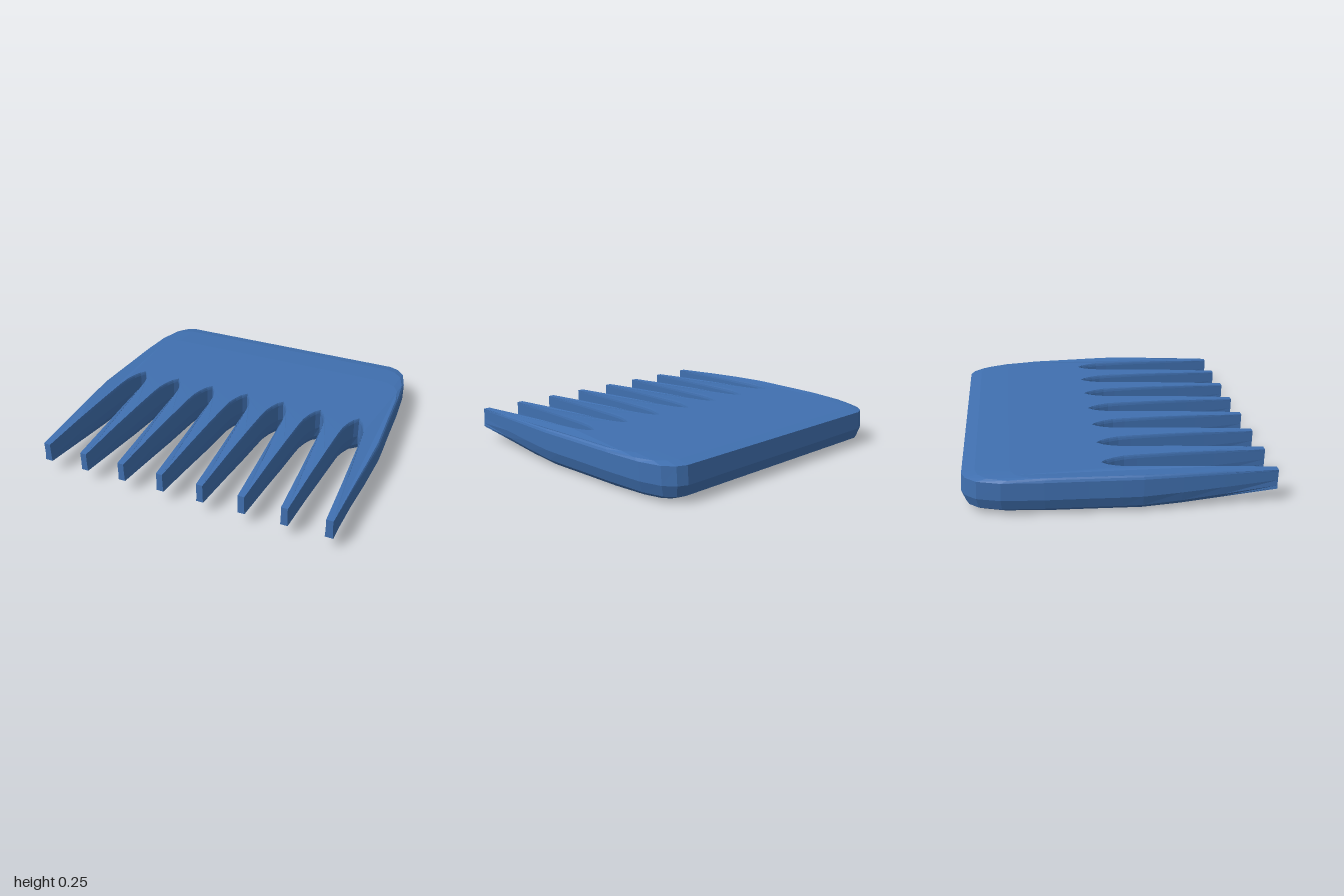
import * as THREE from 'three';

const HEIGHT = 0.245, TIP_Z = 0.925, PITCH = 0.2667;

// Half of the outer edge, back to front: [x, z]
const SIDE = [[0.8, -0.93], [0.86, -0.905], [0.915, -0.84], [0.955, -0.7], [0.975, -0.45],
  [0.985, -0.2], [0.995, 0], [1, 0.12], [0.99, 0.35], [0.975, 0.6], [0.955, TIP_Z]];
// Half of a gap between teeth, tip to root: [half width, z]
const GAP = [[0.113, TIP_Z], [0.097, 0.6], [0.083, 0.35], [0.07, 0.12], [0.062, 0.04],
  [0.046, -0.02], [0.024, -0.07]];
// Edge profile, bottom to top: [inset, extra inset at the back, height]
const LAYERS = [[0.075, 0.2, 0], [0.06, 0.03, 0.012], [0.025, 0, 0.04], [0, 0, 0.11],
  [0, 0.008, 0.222], [0.006, 0.08, 0.236], [0.014, 0.27, HEIGHT]];

const clamp = THREE.MathUtils.clamp;

// Closed outline, counter-clockwise from above, with an inset weight per point
function combOutline() {
  const points = SIDE.map(([x, z]) => ({ x: -x, z, weight: 1 }));
  for (let i = -3; i <= 3; i++) {
    const c = i * PITCH, weight = 0.45;
    GAP.forEach(([w, z]) => points.push({ x: c - w, z, weight }));
    points.push({ x: c, z: -0.1, weight });
    [...GAP].reverse().forEach(([w, z]) => points.push({ x: c + w, z, weight }));
  }
  [...SIDE].reverse().forEach(([x, z]) => points.push({ x, z, weight: 1 }));

  // Inward direction of every point
  const n = points.length;
  points.forEach((p, i) => {
    const a = points[(i + n - 1) % n], b = points[(i + 1) % n];
    const t1 = new THREE.Vector2(p.x - a.x, p.z - a.z).normalize();
    const t2 = new THREE.Vector2(b.x - p.x, b.z - p.z).normalize();
    const t = t1.add(t2).normalize();
    p.inward = new THREE.Vector2(t.y, -t.x);
    if (p.z === TIP_Z) p.inward.set(a.z === TIP_Z ? 1 : -1, 0);
  });
  return points;
}

// Place one layer of the outline; the teeth get thinner towards their tips
function layerRing(points, [inset, back, y]) {
  return points.map((p) => {
    const t = clamp((p.z - 0.05) / (TIP_Z - 0.05), 0, 1);
    const bottom = 0.09 * Math.pow(t, 1.35);
    const top = HEIGHT - 0.032 * Math.pow(t, 1.5);
    const d = inset * p.weight * (1 - 0.92 * t);
    const shift = back * clamp((-0.4 - p.z) / 0.53, 0, 1);
    return new THREE.Vector3(
      p.x + p.inward.x * d,
      bottom + (top - bottom) * y / HEIGHT,
      p.z + p.inward.y * d + shift);
  });
}

function combGeometry() {
  const outline = combOutline(), n = outline.length;
  const rings = LAYERS.map((layer) => layerRing(outline, layer));
  const positions = rings.flat().flatMap((v) => [v.x, v.y, v.z]);
  const index = [];

  // Walls between neighbouring layers
  for (let k = 0; k < rings.length - 1; k++) {
    for (let i = 0; i < n; i++) {
      const a = k * n + i, b = k * n + (i + 1) % n;
      index.push(a, b, b + n, a, b + n, a + n);
    }
  }

  // Bottom and top faces
  [[0, -1], [rings.length - 1, 1]].forEach(([k, facing]) => {
    const flat = rings[k].map((v) => new THREE.Vector2(v.x, -v.z));
    THREE.ShapeUtils.triangulateShape(flat, []).forEach(([a, b, c]) => {
      const area = THREE.ShapeUtils.area([flat[a], flat[b], flat[c]]);
      const tri = area * facing > 0 ? [a, b, c] : [a, c, b];
      index.push(...tri.map((j) => j + k * n));
    });
  });

  const geometry = new THREE.BufferGeometry();
  geometry.setAttribute('position', new THREE.Float32BufferAttribute(positions, 3));
  geometry.setIndex(index);
  geometry.computeVertexNormals();
  return geometry;
}

export function createModel() {
  const group = new THREE.Group();
  group.name = 'comb';
  const material = new THREE.MeshStandardMaterial({ color: 0x4070b0, flatShading: true });
  const comb = new THREE.Mesh(combGeometry(), material);
  comb.name = 'combBodyAndTeeth';
  group.add(comb);
  return group;
}
